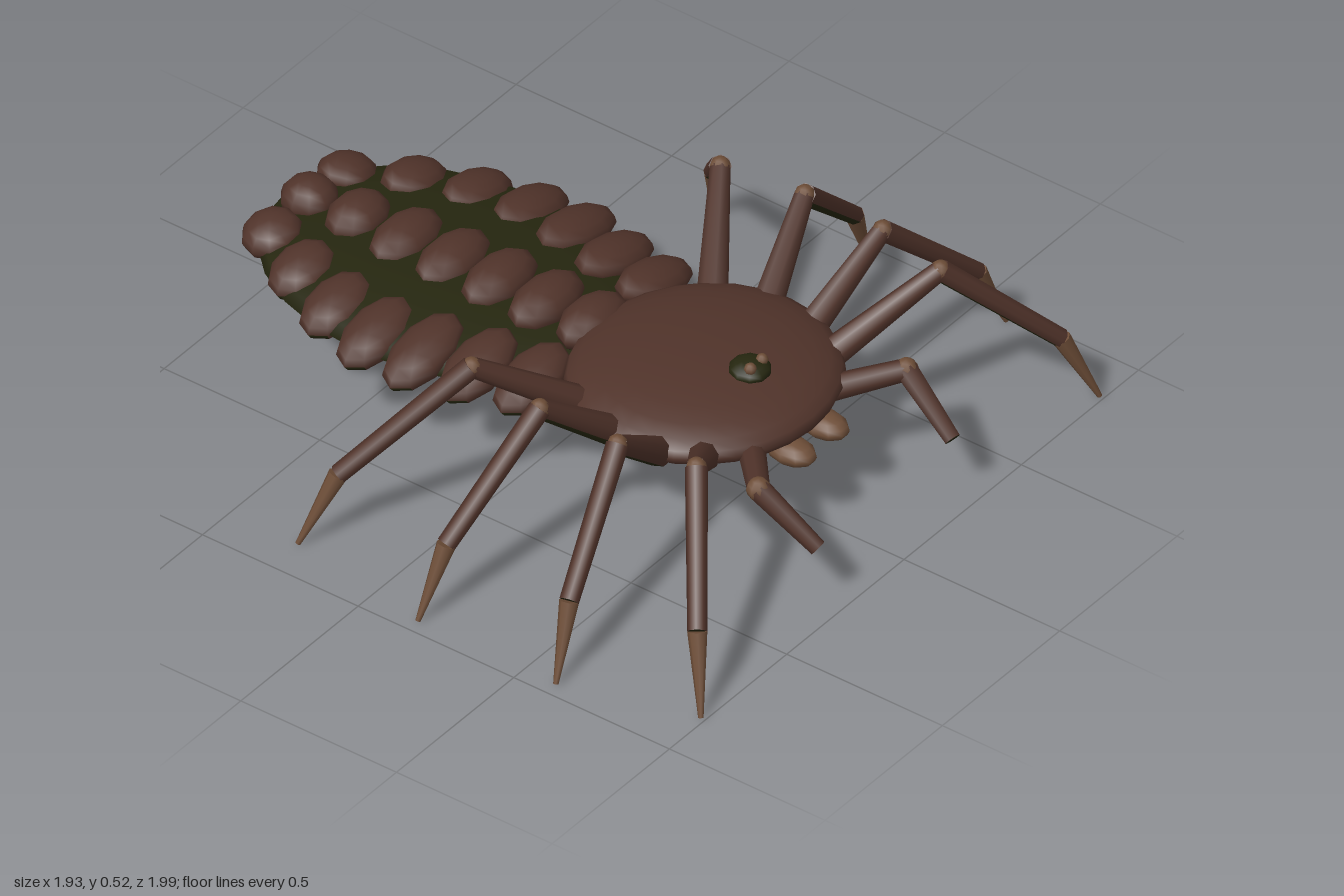
import * as THREE from 'three';

const V = (x, y, z) => new THREE.Vector3(x, y, z);

export function createModel() {
  const mat = (name, color) => {
    const m = new THREE.MeshStandardMaterial({ color });
    m.name = name;
    return m;
  };
  const shell = mat('brown shell', 0x50332a);
  const skin = mat('dark olive skin', 0x25260f);
  const horn = mat('light brown horn', 0x6e4e38);

  const model = new THREE.Group();
  model.name = 'arachnid';

  const add = (parent, name, geo, material) => {
    const mesh = new THREE.Mesh(geo, material);
    mesh.name = name;
    parent.add(mesh);
    return mesh;
  };

  // Brown part whose downward faces are olive, as two material groups
  const addShaded = (parent, name, geo) => {
    const { position } = geo.attributes;
    const src = geo.index.array;
    const upper = [], lower = [];
    const [a, b, c] = [V(), V(), V()];
    for (let i = 0; i < src.length; i += 3) {
      const tri = [src[i], src[i + 1], src[i + 2]];
      [a, b, c].forEach((p, k) => p.fromBufferAttribute(position, tri[k]));
      const n = b.clone().sub(a).cross(c.clone().sub(a)).normalize();
      (n.y < -0.5 ? lower : upper).push(...tri);
    }
    geo.setIndex(upper.concat(lower));
    geo.clearGroups();
    geo.addGroup(0, upper.length, 0);
    geo.addGroup(upper.length, lower.length, 1);
    return add(parent, name, geo, [shell, skin]);
  };

  const ellipsoid = (rx, ry, rz, w = 10, h = 8) =>
    new THREE.SphereGeometry(1, w, h).scale(rx, ry, rz);

  // Tapered limb segment between two points
  const limb = (from, to, r0, r1) => {
    const dir = to.clone().sub(from);
    const geo = new THREE.CylinderGeometry(r1, r0, dir.length(), 8);
    geo.applyQuaternion(new THREE.Quaternion().setFromUnitVectors(V(0, 1, 0), dir.normalize()));
    const mid = from.clone().add(to).multiplyScalar(0.5);
    return geo.translate(mid.x, mid.y, mid.z);
  };

  const ball = (parent, name, p, r) =>
    add(parent, name, new THREE.SphereGeometry(r, 8, 6), horn).position.copy(p);

  // Front body with flattened carapace
  addShaded(model, 'carapace', ellipsoid(0.375, 0.09, 0.355, 28, 14).translate(0, 0.31, 0.36));

  // Flat abdomen, poles along z
  const abdomen = new THREE.SphereGeometry(1, 16, 12).rotateX(Math.PI / 2).scale(0.4, 0.066, 0.545);
  add(model, 'abdomen', abdomen, skin).position.set(0, 0.253, -0.455);

  // Rows of back plates: z, middle half width, side x, side half width, height
  const rows = [
    [0.0, 0.12, 0.26, 0.135, 0.315],
    [-0.15, 0.13, 0.29, 0.14, 0.31],
    [-0.3, 0.13, 0.325, 0.145, 0.31],
    [-0.45, 0.13, 0.33, 0.135, 0.305],
    [-0.6, 0.125, 0.3, 0.12, 0.305],
    [-0.755, 0.1, 0.24, 0.105, 0.305],
    [-0.91, 0.077, 0.16, 0.085, 0.295],
  ];
  const plates = new THREE.Group();
  plates.name = 'backPlates';
  model.add(plates);
  rows.forEach(([z, rm, sx, rs, y]) => {
    addShaded(plates, 'middlePlate', ellipsoid(rm, 0.06, 0.077).translate(0, y, z));
    for (const s of [-1, 1]) {
      const drop = 0.11 * sx;
      const geo = ellipsoid(rs, 0.05, 0.078).rotateZ(-s * 0.22).translate(s * sx, y - drop, z);
      addShaded(plates, 'sidePlate', geo);
    }
  });

  // Eye mound with two small eyes
  add(model, 'eyeMound', ellipsoid(0.057, 0.03, 0.057), skin).position.set(0, 0.393, 0.505);

  // Legs: hip, knee, ankle and tip of the left side, mirrored
  const legs = [
    [[0.27, 0.3, 0.56], [0.52, 0.495, 0.725], [0.775, 0.21, 0.92], [0.85, 0.008, 0.988]],
    [[0.32, 0.3, 0.455], [0.565, 0.495, 0.505], [0.87, 0.21, 0.58], [0.96, 0.008, 0.605]],
    [[0.32, 0.3, 0.315], [0.565, 0.495, 0.255], [0.87, 0.21, 0.185], [0.96, 0.008, 0.162]],
    [[0.27, 0.3, 0.18], [0.53, 0.495, 0.01], [0.8, 0.21, -0.215], [0.885, 0.008, -0.28]],
  ];
  for (const s of [-1, 1]) {
    const side = s > 0 ? 'left' : 'right';
    const at = (p) => V(s * p[0], p[1], p[2]);

    legs.forEach((points, i) => {
      const [hip, knee, ankle, tip] = points.map(at);
      const leg = new THREE.Group();
      leg.name = `${side}Leg${i + 1}`;
      model.add(leg);
      addShaded(leg, 'upperLeg', limb(hip, knee, 0.042, 0.027));
      ball(leg, 'knee', knee, 0.028);
      addShaded(leg, 'lowerLeg', limb(knee, ankle, 0.03, 0.026));
      add(leg, 'foot', limb(ankle, tip, 0.026, 0.007), horn);
    });

    // Short feelers beside the mouth
    const [root, elbow, end] = [[0.17, 0.29, 0.64], [0.315, 0.32, 0.77], [0.287, 0.19, 0.94]].map(at);
    const feeler = new THREE.Group();
    feeler.name = `${side}Feeler`;
    model.add(feeler);
    addShaded(feeler, 'upperFeeler', limb(root, elbow, 0.036, 0.03));
    ball(feeler, 'elbow', elbow, 0.033);
    addShaded(feeler, 'lowerFeeler', limb(elbow, end, 0.032, 0.023));

    // Mouth part and eye
    add(model, `${side}Jaw`, ellipsoid(0.05, 0.035, 0.075), horn).position.set(s * 0.07, 0.258, 0.69);
    ball(model, `${side}Eye`, V(s * 0.025, 0.417, 0.525), 0.017);
  }

  return model;
}
